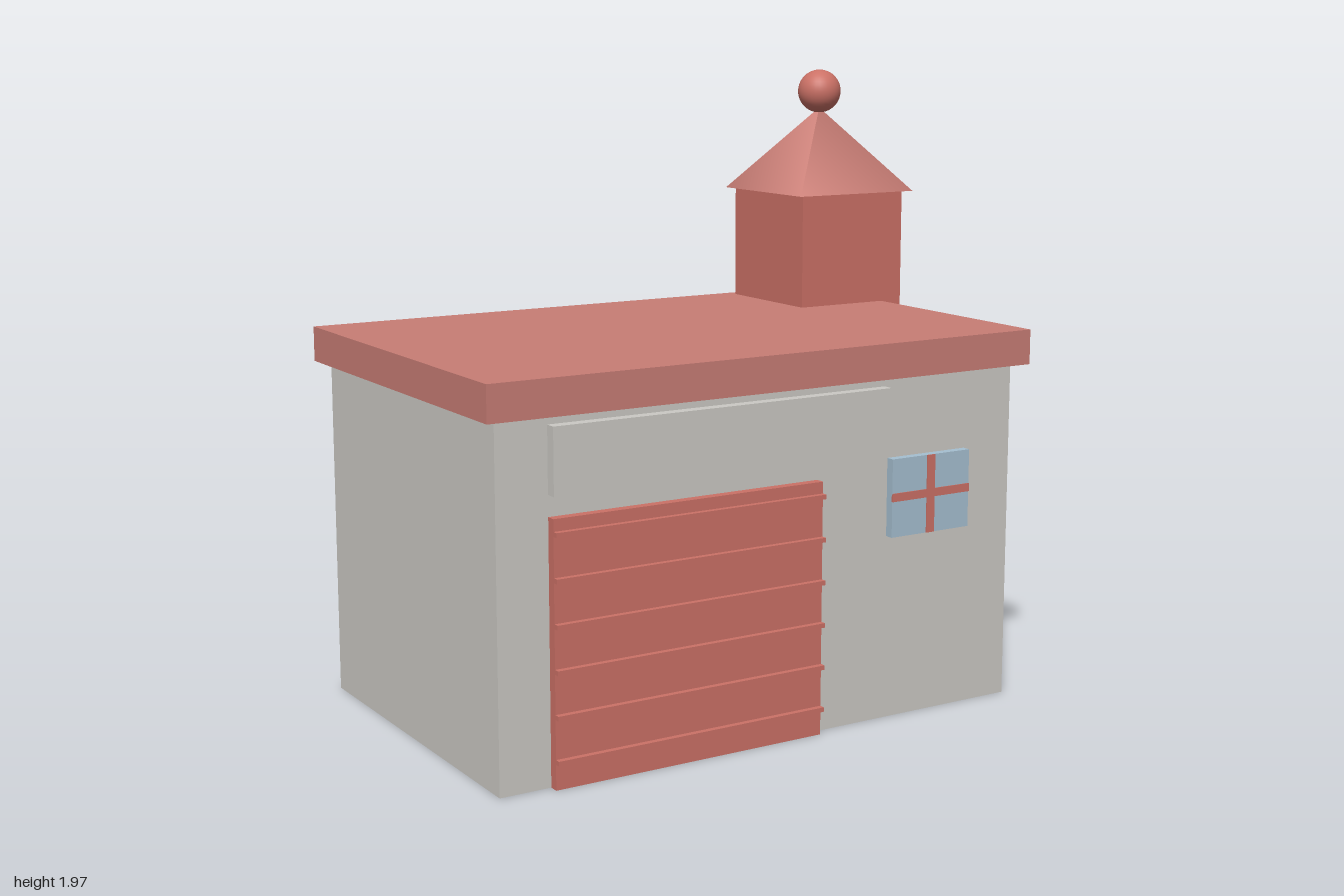
import * as THREE from 'three';

const material = (name, color) => {
  const m = new THREE.MeshStandardMaterial({ color });
  m.name = name;
  return m;
};

export function createModel() {
  const group = new THREE.Group();
  group.name = 'garage';

  const wall = material('pale grey wall', 0xcbc9c4);
  const brick = material('brick red', 0xcb7166);
  const roofRed = material('dusty roof red', 0xc87d75);
  const glass = material('blue glass', 0xa5bfd0);

  const add = (name, geometry, mat, x, y, z) => {
    const mesh = new THREE.Mesh(geometry, mat);
    mesh.name = name;
    mesh.position.set(x, y, z);
    group.add(mesh);
    return mesh;
  };
  // Box given by its extents on each axis
  const box = (name, mat, [x0, x1], [y0, y1], [z0, z1]) =>
    add(name, new THREE.BoxGeometry(x1 - x0, y1 - y0, z1 - z0), mat,
      (x0 + x1) / 2, (y0 + y1) / 2, (z0 + z1) / 2);

  // Main building with its flat overhanging roof
  box('walls', wall, [-0.96, 0.845], [0, 1.08], [-0.58, 0.572]);
  box('roof', roofRed, [-1, 0.89], [1.075, 1.185], [-0.62, 0.611]);
  box('signBoard', wall, [-0.797, 0.355], [0.85, 1.048], [0.56, 0.607]);

  // Garage door with horizontal ribs
  box('garageDoor', brick, [-0.797, 0.11], [0, 0.787], [0.56, 0.602]);
  for (let i = 0; i < 6; i++) {
    const y = 0.084 + i * 0.132;
    box('doorRib', brick, [-0.797, 0.11], [y - 0.007, y + 0.007], [0.595, 0.62]);
  }

  // Window with crossed glazing bars
  box('windowPane', glass, [0.37, 0.665], [0.58, 0.825], [0.56, 0.6]);
  box('windowBarVertical', brick, [0.501, 0.531], [0.58, 0.825], [0.597, 0.603]);
  box('windowBarHorizontal', brick, [0.37, 0.665], [0.692, 0.718], [0.597, 0.603]);

  // Corner tower, pyramid cap and ball finial
  const tx = 0.766, tz = -0.375;
  box('tower', brick, [0.56, 0.97], [0.001, 1.562], [-0.582, -0.169]);
  const cap = new THREE.ConeGeometry(0.231 * Math.SQRT2, 0.28, 4);
  cap.rotateY(Math.PI / 4);
  add('towerCap', cap, roofRed, tx, 1.7, tz);
  add('finial', new THREE.SphereGeometry(0.073, 32, 20), brick, tx, 1.896, tz);

  return group;
}
